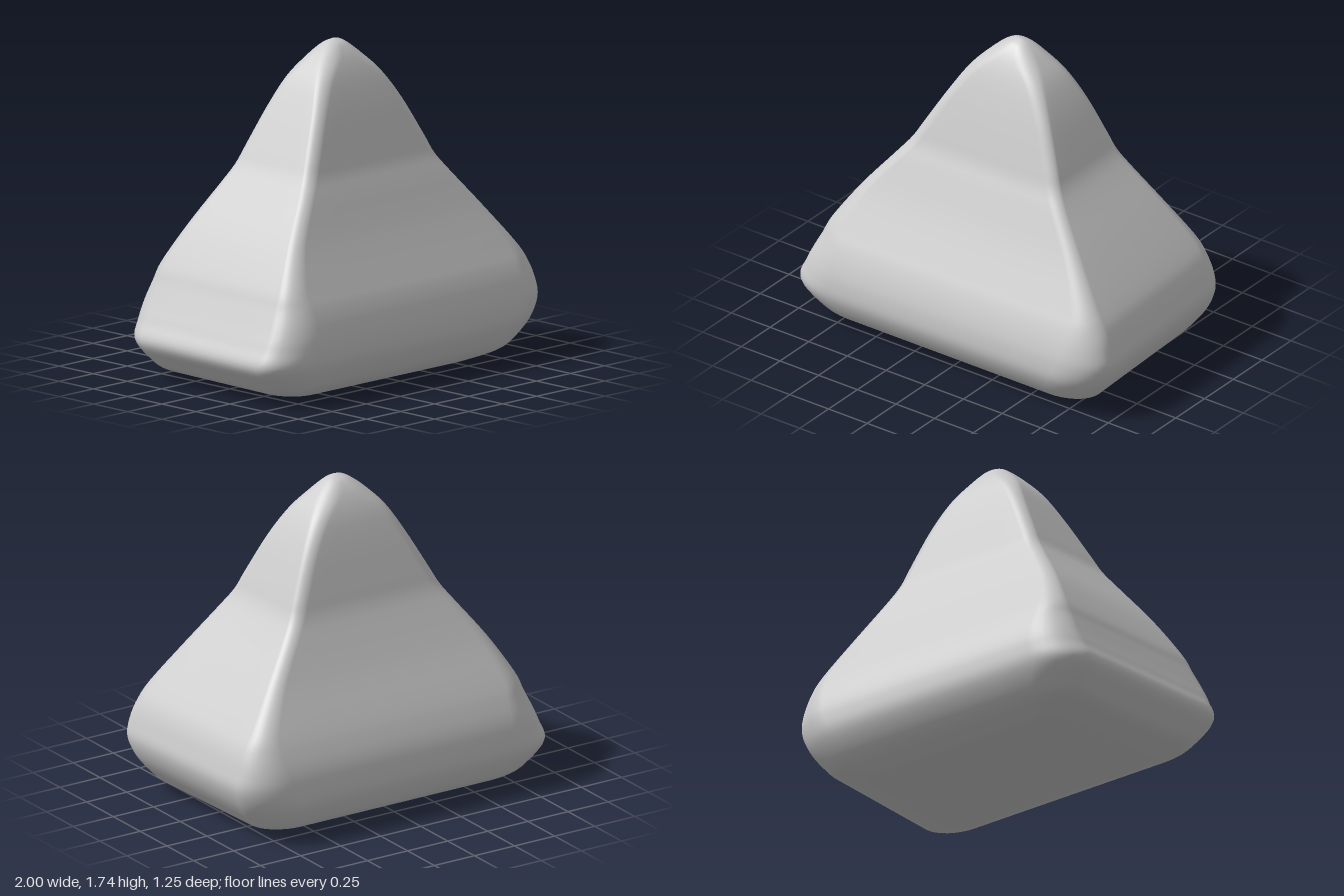
import * as THREE from 'three';
import { mergeVertices } from 'three/addons/utils/BufferGeometryUtils.js';

// Cross-sections from base to peak: y, left x, right x, back z, front z, corner radius x, corner radius z
const SECTIONS = [
  [0, -0.68, 0.65, -0.40, 0.40, 0.14, 0.11],
  [0.05, -0.85, 0.82, -0.51, 0.51, 0.20, 0.14],
  [0.11, -0.925, 0.89, -0.57, 0.57, 0.25, 0.16],
  [0.21, -1.0, 0.965, -0.62, 0.62, 0.28, 0.18],
  [0.31, -0.96, 1.0, -0.625, 0.625, 0.26, 0.17],
  [0.4, -0.915, 0.985, -0.61, 0.607, 0.22, 0.15],
  [0.5, -0.865, 0.95, -0.575, 0.57, 0.17, 0.13],
  [0.6, -0.815, 0.885, -0.53, 0.52, 0.12, 0.09],
  [0.8, -0.685, 0.73, -0.43, 0.42, 0.08, 0.06],
  [1.0, -0.53, 0.57, -0.34, 0.33, 0.07, 0.05],
  [1.1, -0.455, 0.50, -0.30, 0.285, 0.07, 0.05],
  [1.2, -0.40, 0.455, -0.273, 0.253, 0.07, 0.05],
  [1.4, -0.29, 0.36, -0.22, 0.188, 0.07, 0.05],
  [1.55, -0.20, 0.27, -0.173, 0.132, 0.08, 0.06],
  [1.65, -0.11, 0.18, -0.125, 0.082, 0.09, 0.07],
  [1.71, -0.035, 0.11, -0.078, 0.036, 0.06, 0.05],
  [1.732, 0.01, 0.07, -0.038, 0.0, 0.03, 0.019],
  [1.737, 0.04, 0.04, -0.02, -0.02, 0, 0],
];
const STEPS = 5, ARC = 8, SIDE = 6;

// Smooth interpolation through the sections
function sectionAt(t) {
  const i = Math.min(Math.floor(t), SECTIONS.length - 2), f = t - i;
  const row = k => SECTIONS[THREE.MathUtils.clamp(k, 0, SECTIONS.length - 1)];
  return row(i).map((b, c) => {
    const a = row(i - 1)[c], d = row(i + 1)[c], e = row(i + 2)[c];
    const m0 = (d - a) / 2, m1 = (e - b) / 2;
    return b + f * (m0 + f * (3 * (d - b) - 2 * m0 - m1 + f * (2 * (b - d) + m0 + m1)));
  });
}

// Rounded rectangle ring, slightly narrower towards the back
function ringPoints([y, xl, xr, zb, zf, rx, rz]) {
  const corners = [[xr - rx, zf - rz], [xl + rx, zf - rz], [xl + rx, zb + rz], [xr - rx, zb + rz]];
  const pts = [];
  corners.forEach(([cx, cz], q) => {
    for (let k = 0; k <= ARC; k++) {
      const a = (q + k / ARC) * Math.PI / 2;
      pts.push([cx + rx * Math.cos(a), cz + rz * Math.sin(a)]);
    }
    const [px, pz] = pts[pts.length - 1];
    const [nx, nz] = corners[(q + 1) % 4];
    const a = (q + 1) * Math.PI / 2;
    const ex = nx + rx * Math.cos(a), ez = nz + rz * Math.sin(a);
    for (let k = 1; k < SIDE; k++) {
      pts.push([px + (ex - px) * k / SIDE, pz + (ez - pz) * k / SIDE]);
    }
  });
  const mid = (xl + xr) / 2;
  return pts.map(([x, z]) => [mid + (x - mid) * (1 + 0.05 * (z - zf * 0.72)), y, z]);
}

function loftGeometry() {
  const positions = [], index = [];
  const rows = (SECTIONS.length - 1) * STEPS;
  const n = 4 * (ARC + SIDE);
  for (let i = 0; i <= rows; i++) {
    ringPoints(sectionAt(i / STEPS)).forEach(p => positions.push(...p));
  }
  for (let i = 0; i < rows; i++) {
    for (let j = 0; j < n; j++) {
      const k = (j + 1) % n;
      const a = i * n + j, b = i * n + k, c = a + n, d = b + n;
      index.push(a, c, b);
      if (i < rows - 1) index.push(b, c, d);
    }
  }
  // Flat underside
  const centre = positions.length / 3;
  positions.push(0, 0, 0);
  for (let j = 0; j < n; j++) index.push(centre, j, (j + 1) % n);

  const geometry = new THREE.BufferGeometry();
  geometry.setAttribute('position', new THREE.Float32BufferAttribute(positions, 3));
  geometry.setIndex(index);
  const merged = mergeVertices(geometry, 1e-5);
  merged.computeVertexNormals();
  return merged;
}

export function createModel() {
  const group = new THREE.Group();
  group.name = 'softPyramid';
  const body = new THREE.Mesh(loftGeometry(), new THREE.MeshStandardMaterial({ color: 0xcccccc }));
  body.name = 'pyramidBody';
  group.add(body);
  return group;
}
